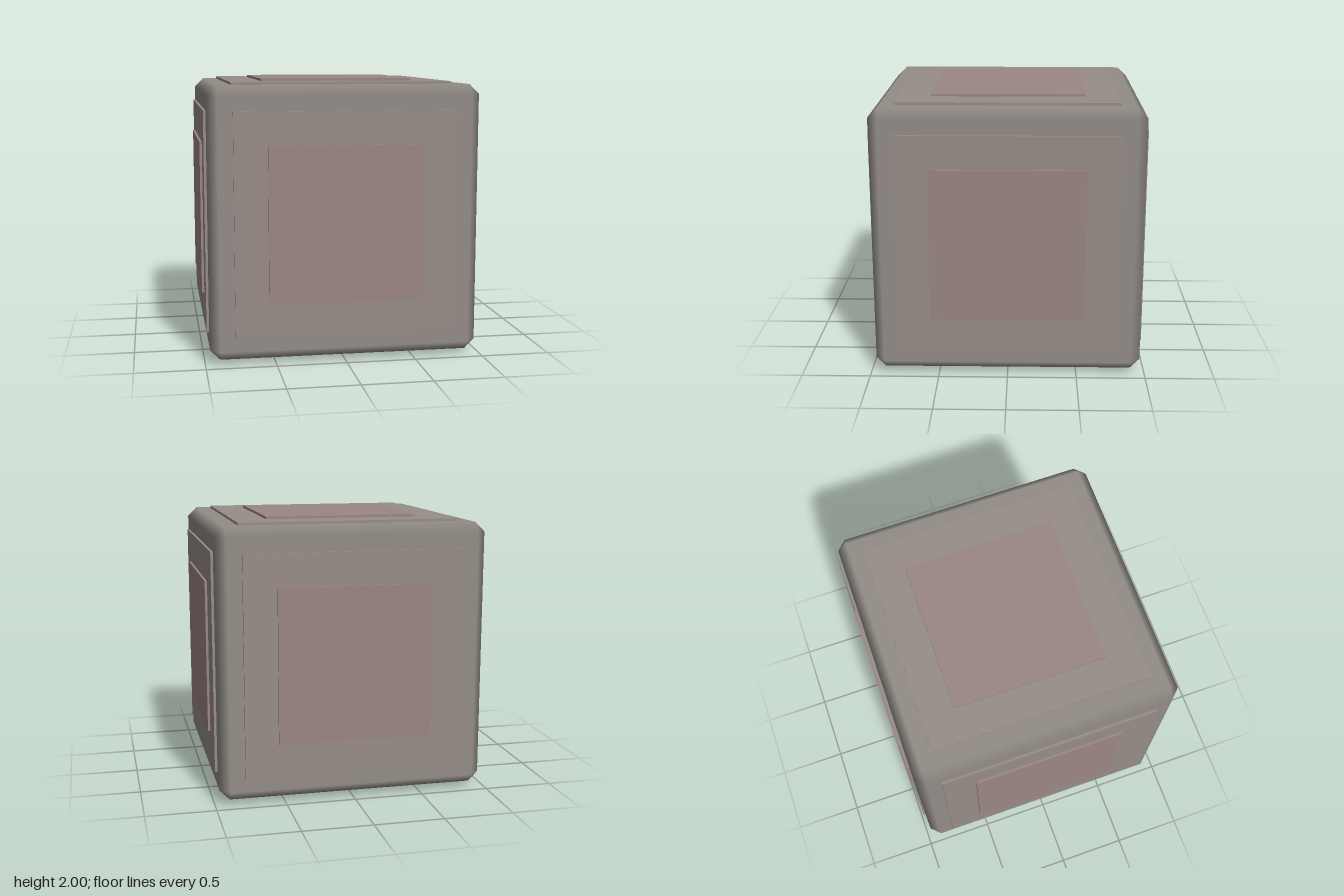
import * as THREE from 'three';
import { ConvexGeometry } from 'three/addons/geometries/ConvexGeometry.js';

const H = 0.965;     // half size of the body
const BEVEL = 0.07;  // width of the edge chamfer

const material = (color) => new THREE.MeshStandardMaterial({ color });

// Chamfered cube: flat sides, with shading blended across the bevels
function bevelledCube(half, bevel) {
  const inner = half - bevel;
  const points = [];
  for (const x of [-1, 1]) for (const y of [-1, 1]) for (const z of [-1, 1]) {
    points.push(
      new THREE.Vector3(x * half, y * inner, z * inner),
      new THREE.Vector3(x * inner, y * half, z * inner),
      new THREE.Vector3(x * inner, y * inner, z * half),
    );
  }
  const geometry = new ConvexGeometry(points);
  const pos = geometry.attributes.position;
  const normal = geometry.attributes.normal;
  const onSide = (c) => (Math.abs(c) > half - bevel / 2 ? Math.sign(c) : 0);
  for (let i = 0; i < pos.count; i++) {
    normal.setXYZ(i, onSide(pos.getX(i)), onSide(pos.getY(i)), onSide(pos.getZ(i)));
  }
  return geometry;
}

// Square plate lying on the +z side, from inside the body out to the given height
function plate(name, half, bottom, top, mat) {
  const geometry = new THREE.BoxGeometry(half * 2, half * 2, top - bottom);
  geometry.translate(0, 0, (top + bottom) / 2);
  const mesh = new THREE.Mesh(geometry, mat);
  mesh.name = name;
  return mesh;
}

export function createModel() {
  const model = new THREE.Group();
  model.name = 'panelledCube';

  const body = new THREE.Mesh(bevelledCube(H, BEVEL), material(0x938d87));
  body.name = 'body';
  body.position.y = 1;
  model.add(body);

  // Two stepped plates on every side
  const outerMaterial = material(0x988d88);
  const innerMaterial = material(0x9b8783);
  const sides = {
    front: [0, 0], back: [0, Math.PI],
    left: [0, Math.PI / 2], right: [0, -Math.PI / 2],
    top: [-Math.PI / 2, 0], bottom: [Math.PI / 2, 0],
  };
  for (const [side, [rx, ry]] of Object.entries(sides)) {
    const panel = new THREE.Group();
    panel.name = `${side}Panel`;
    panel.add(
      plate('outerPlate', 0.79, H - 0.02, 0.983, outerMaterial),
      plate('innerPlate', 0.553, H - 0.01, 1, innerMaterial),
    );
    panel.rotation.set(rx, ry, 0);
    panel.position.y = 1;
    model.add(panel);
  }
  return model;
}
